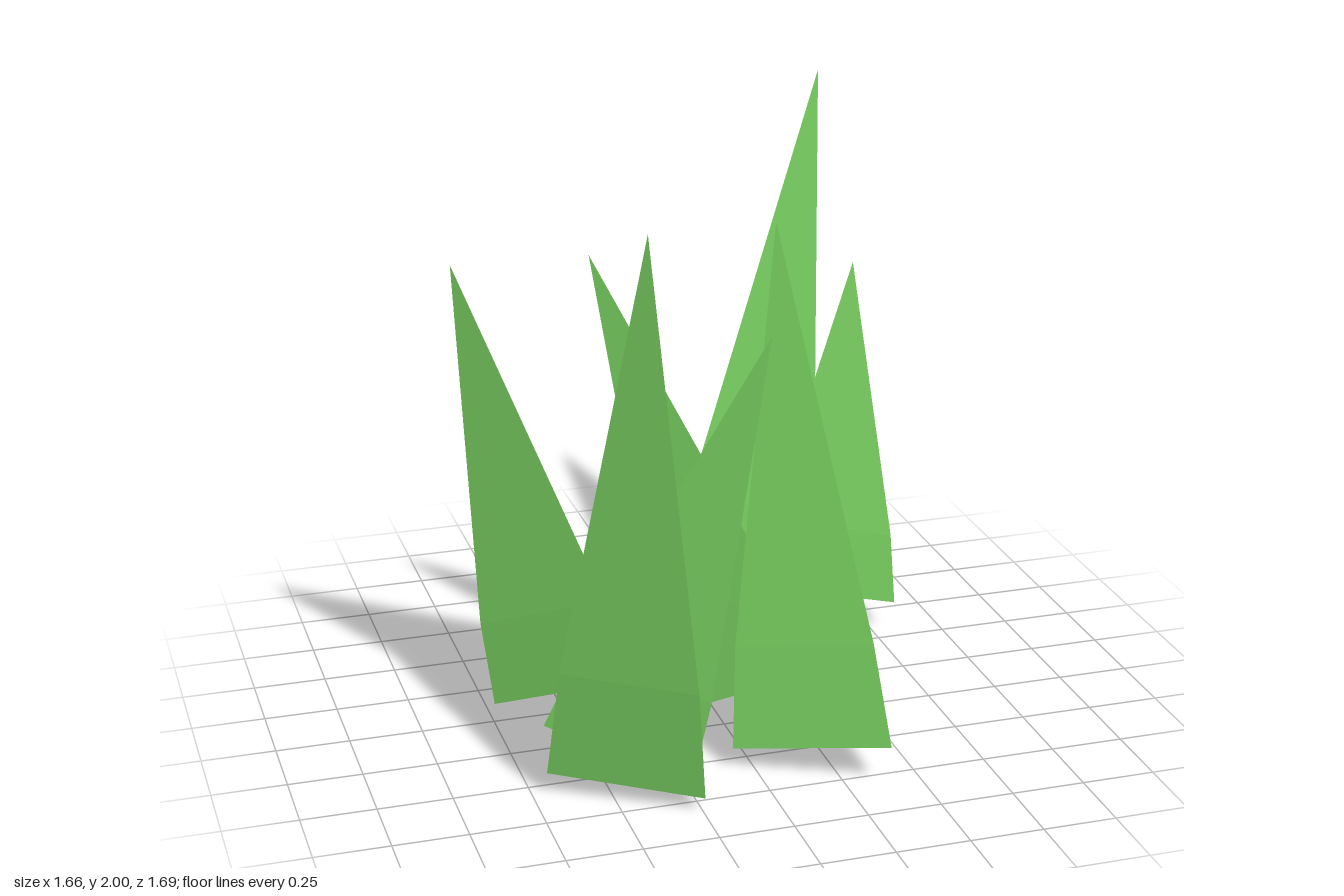
import * as THREE from 'three';

const leafGreen = new THREE.MeshStandardMaterial({ color: 0x76cb5e, flatShading: true });
leafGreen.name = 'leafGreen';

// Each blade: its tip, then the three corners of its tilted base.
const blades = [
  { tip: [0.69, 2.0, -0.84], base: [[-0.02, 0.18, -0.42], [0.44, 0.13, -0.16], [0.41, 0.01, -0.68]] },
  { tip: [0.82, 1.28, -0.79], base: [[0.36, 0.14, -0.54], [0.82, 0.125, -0.28], [0.80, 0.02, -0.80]] },
  { tip: [-0.83, 1.62, -0.10], base: [[-0.72, 0.01, -0.12], [-0.28, 0.16, 0.14], [-0.28, 0.17, -0.39]] },
  { tip: [-0.42, 1.95, 0.82], base: [[-0.70, 0.08, 0.56], [-0.245, 0.055, 0.83], [-0.24, 0.13, 0.29]] },
  { tip: [0.17, 1.78, 0.25], base: [[-0.07, 0.08, 0.57], [0.39, 0.14, 0.83], [0.39, 0.05, 0.31]] },
  { tip: [-0.32, 1.56, -0.27], base: [[-0.11, 0.005, 0.11], [0.30, 0.21, 0.36], [0.34, 0.09, -0.15]] },
  { tip: [0.03, 1.53, 0.64], base: [[-0.67, 0.17, 0.40], [-0.24, 0.01, 0.66], [-0.22, 0.09, 0.14]] },
];

// Three-sided spike: base ring, slightly swollen ring a fifth of the way up, tip.
function bladeGeometry({ tip, base }) {
  const apex = new THREE.Vector3(...tip);
  const low = base.map((p) => new THREE.Vector3(...p));
  const centre = low[0].clone().add(low[1]).add(low[2]).divideScalar(3);
  const mid = low.map((p) => p.clone().lerp(apex, 0.2).addScaledVector(p.clone().sub(centre), 0.07));

  const points = [];
  for (let i = 0; i < 3; i++) {
    const j = (i + 1) % 3;
    points.push(low[i], low[j], mid[j], low[i], mid[j], mid[i]); // lower side
    points.push(mid[i], mid[j], apex); // upper side
  }
  points.push(low[0], low[2], low[1]); // underside

  const geometry = new THREE.BufferGeometry().setFromPoints(points);
  geometry.computeVertexNormals();
  return geometry;
}

export function createModel() {
  const group = new THREE.Group();
  group.name = 'grassTuft';
  blades.forEach((blade, i) => {
    const mesh = new THREE.Mesh(bladeGeometry(blade), leafGreen);
    mesh.name = `grassBlade${i + 1}`;
    group.add(mesh);
  });
  return group;
}
